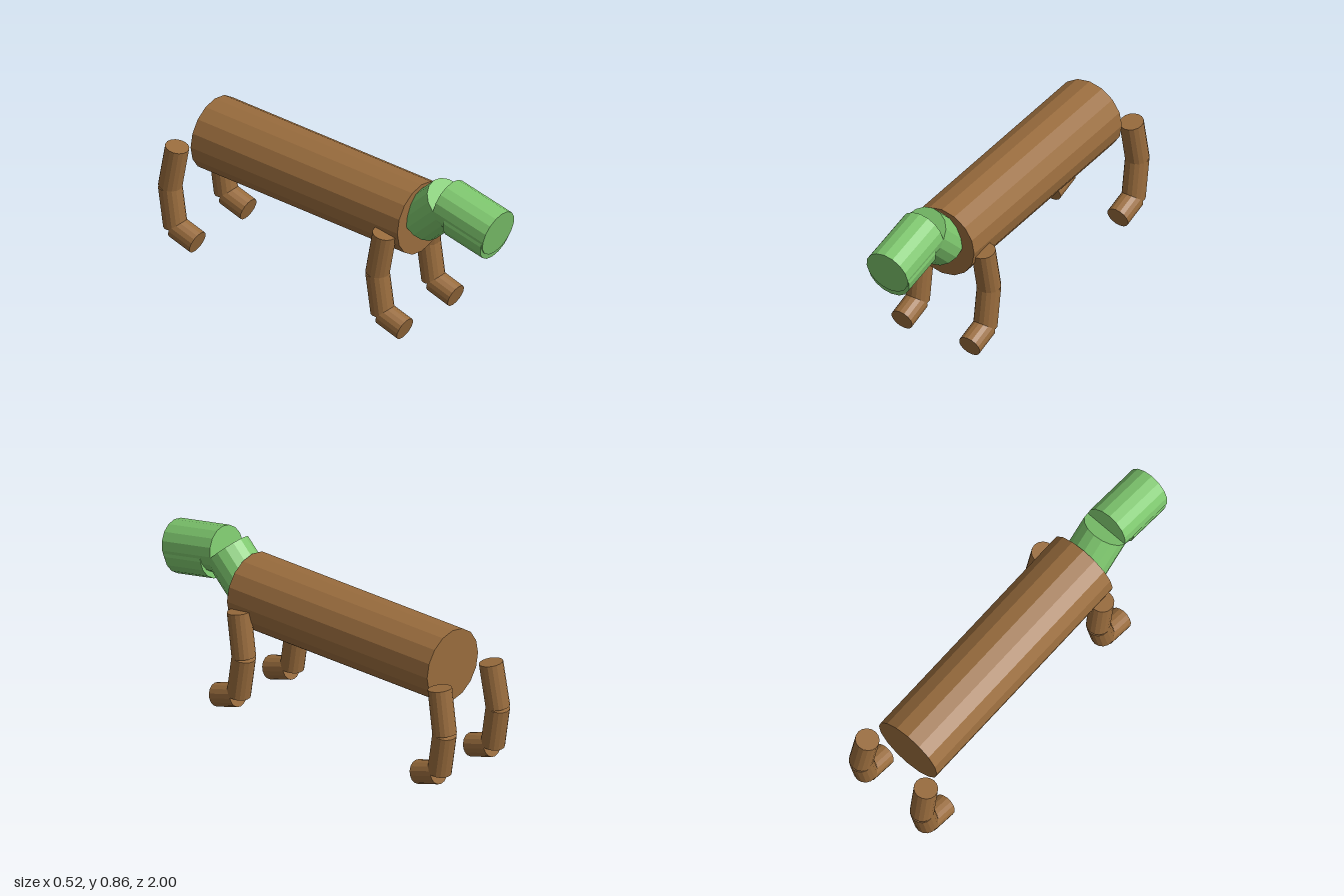
import * as THREE from 'three';

const brown = new THREE.MeshStandardMaterial({ color: 0x996c3d, flatShading: true });
brown.name = 'brown';
const green = new THREE.MeshStandardMaterial({ color: 0x7dc66d, flatShading: true });
green.name = 'green';

// Capped 16-sided cylinder running from point a to point b
function limb(name, a, b, radius, material) {
  const from = new THREE.Vector3(...a);
  const to = new THREE.Vector3(...b);
  const dir = to.clone().sub(from);
  const mesh = new THREE.Mesh(new THREE.CylinderGeometry(radius, radius, dir.length(), 16), material);
  mesh.quaternion.setFromUnitVectors(new THREE.Vector3(0, 1, 0), dir.normalize());
  mesh.position.copy(from).add(to).multiplyScalar(0.5);
  mesh.name = name;
  return mesh;
}

// One leg: upper part leaning slightly inwards, lower part, and foot
function createLeg(name, side, z) {
  const leg = new THREE.Group();
  leg.name = name;
  const x = side * 0.201;
  leg.add(
    limb('upperLeg', [side * 0.193, 0.558, 0.41], [x, 0.323, 0.372], 0.061, brown),
    limb('lowerLeg', [x, 0.323, 0.372], [x, 0.105, 0.405], 0.061, brown),
    limb('foot', [x, 0.1, 0.41], [x, 0.059, 0.545], 0.061, brown),
  );
  leg.position.z = z;
  return leg;
}

export function createModel() {
  const model = new THREE.Group();
  model.name = 'animal';

  // Body
  model.add(limb('body', [0, 0.584, -0.818], [0, 0.584, 0.49], 0.192, brown));

  // Neck, head and the lower jaw peeking out beneath it
  model.add(
    limb('neck', [0, 0.586, 0.495], [0, 0.747, 0.655], 0.122, green),
    limb('head', [0, 0.746, 0.66], [0, 0.682, 0.975], 0.122, green),
    limb('jaw', [0, 0.699, 0.725], [0, 0.651, 0.961], 0.122, green),
  );

  // Legs
  for (const [label, side] of [['Left', 1], ['Right', -1]]) {
    model.add(createLeg('front' + label + 'Leg', side, 0));
    model.add(createLeg('hind' + label + 'Leg', side, -1.312));
  }
  return model;
}
